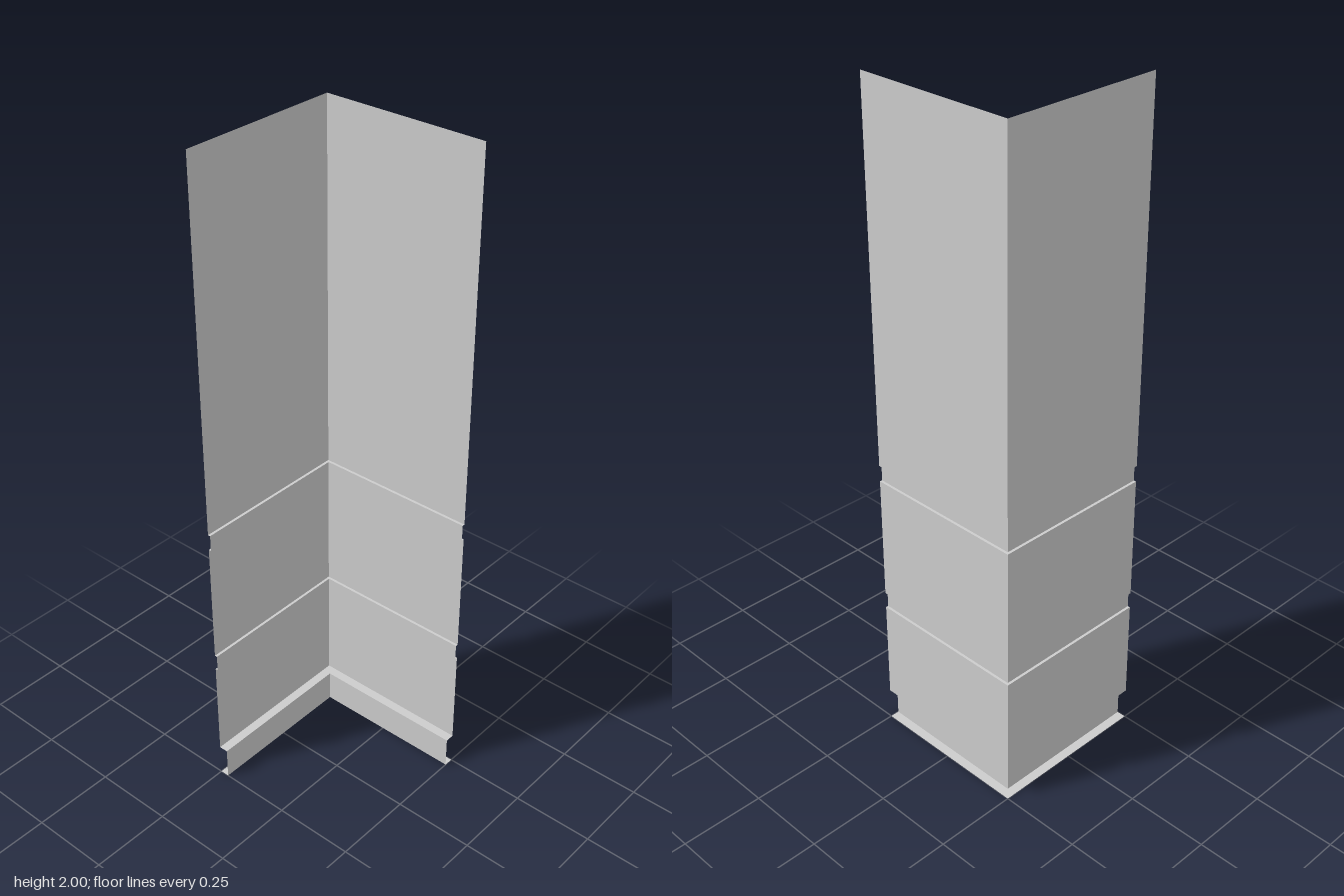
import * as THREE from 'three';

const HALF = 0.25;      // half the width of each wing
const GROOVE = 0.008;   // depth of the shadow grooves
const PLINTH = 0.028;   // setback of the base

// Sweeps a profile of [setback, height] points around the L-shaped corner.
function cornerSheet(name, profile, material) {
  const path = ([s, y]) => [
    new THREE.Vector3(-HALF + s, y, HALF),
    new THREE.Vector3(-HALF + s, y, -HALF + s),
    new THREE.Vector3(HALF, y, -HALF + s),
  ];
  const points = [];
  for (let i = 0; i < profile.length - 1; i++) {
    const low = path(profile[i]);
    const high = path(profile[i + 1]);
    for (let k = 0; k < 2; k++) {
      points.push(low[k + 1], low[k], high[k], low[k + 1], high[k], high[k + 1]);
    }
  }
  const geometry = new THREE.BufferGeometry().setFromPoints(points);
  geometry.computeVertexNormals();
  const mesh = new THREE.Mesh(geometry, material);
  mesh.name = name;
  return mesh;
}

export function createModel() {
  const model = new THREE.Group();
  model.name = 'cornerCladding';
  const material = new THREE.MeshStandardMaterial({ color: 0xcccccc, side: THREE.DoubleSide });
  const add = (name, profile) => model.add(cornerSheet(name, profile, material));

  // Recessed base with its foot flange and the ledge above it
  add('base', [[0, 0], [PLINTH, 0], [PLINTH, 0.1], [0, 0.1]]);

  // Flat wall panels
  add('lowerPanel', [[0, 0.1], [0, 0.41]]);
  add('middlePanel', [[0, 0.46], [0, 0.84]]);
  add('upperPanel', [[0, 0.89], [0, 2]]);

  // Square grooves between the panels
  for (const [name, y] of [['lowerGroove', 0.41], ['upperGroove', 0.84]]) {
    add(name, [[0, y], [GROOVE, y], [GROOVE, y + 0.05], [0, y + 0.05]]);
  }
  return model;
}
